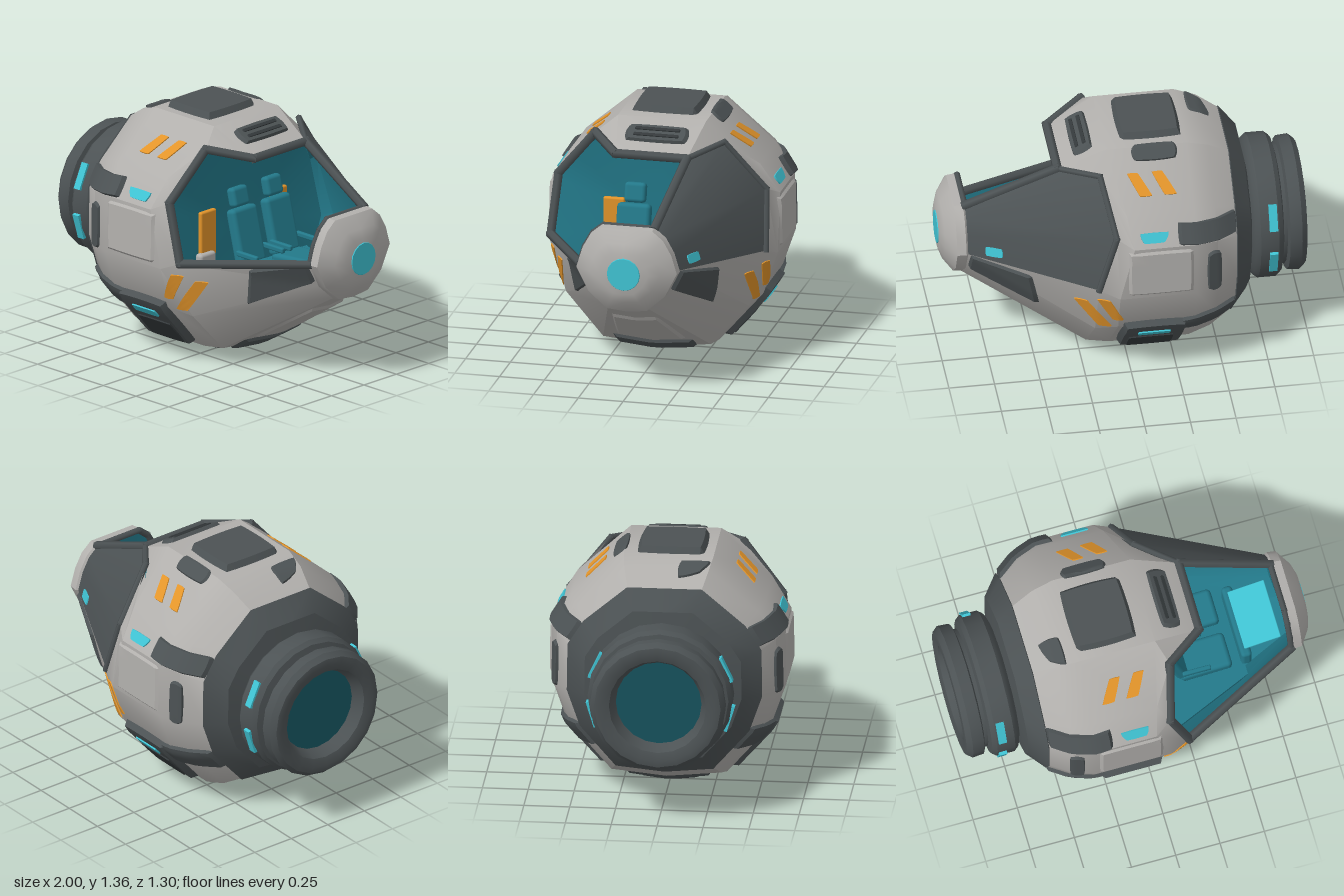
import * as THREE from 'three';
import { toCreasedNormals } from 'three/addons/utils/BufferGeometryUtils.js';
import { RoundedBoxGeometry } from 'three/addons/geometries/RoundedBoxGeometry.js';

const mat = (name, color) => Object.assign(new THREE.MeshStandardMaterial({ color }), { name });
const AXIS = 0.69; // height of the pod's long axis
const N = 14; // points in each hull ring

// Half sections [x, y, z] from roof to belly: widest body, canopy rear edge, nose rim
const BODY = [[0.1, 1.332, 0.245], [0.03, 1.09, 0.53], [0, 0.925, 0.635], [0.08, 0.605, 0.64], [0.08, 0.36, 0.555], [0.1, 0.09, 0.32]];
const CANOPY = [[0.36, 1.2, 0.2], [0.15, 1.24, 0.36], [0.09, 0.97, 0.58], [0.19, 0.65, 0.6], [0.2, 0.33, 0.51], [0.22, 0.1, 0.3]];
const NOSE = [[0.86, 0.96, 0.14], [0.86, 0.91, 0.2], [0.86, 0.83, 0.245], [0.86, 0.73, 0.275], [0.87, 0.6, 0.21], [0.89, 0.51, 0.11]];

// Full ring: centre points added at roof and belly, other half mirrored
function ringOf(half) {
  const [tx, ty] = half[0], [bx, by, bz] = half[half.length - 1];
  const other = half.map(([x, y, z]) => [x, y, -z]).reverse();
  return [[tx, ty, 0], ...half, [bx, by - 0.1 * bz, 0], ...other];
}
const scaleRing = (ring, s, x, cy = AXIS) => ring.map(p => [x ?? p[0], cy + (p[1] - cy) * s, p[2] * s]);

// Skin stretched over rings; keep(r, i) chooses which cells are built
function loft(rings, keep = () => true, inward = false) {
  const pos = [];
  for (let r = 0; r < rings.length - 1; r++) for (let i = 0; i < N; i++) {
    if (!keep(r, i)) continue;
    const j = (i + 1) % N;
    const [a, b, c, d] = [rings[r][i], rings[r][j], rings[r + 1][j], rings[r + 1][i]];
    pos.push(...(inward ? [a, c, b, a, d, c] : [a, b, c, a, c, d]).flat());
  }
  const g = new THREE.BufferGeometry();
  g.setAttribute('position', new THREE.Float32BufferAttribute(pos, 3));
  return toCreasedNormals(g, 0.5);
}

export function createModel() {
  const M = {
    light: mat('light grey hull', 0xb2b0ad), dark: mat('dark grey trim', 0x4c5254),
    slot: mat('shadow grey', 0x34393b), glow: mat('cyan light', 0x40c4d4),
    teal: mat('teal interior', 0x23798a), deep: mat('deep teal', 0x17545f),
    orange: mat('orange paint', 0xe2942a),
  };
  const root = new THREE.Group();
  root.name = 'pod';
  const add = (name, geo, m, parent = root) => {
    const o = new THREE.Mesh(geo, m);
    o.name = name;
    parent.add(o);
    return o;
  };

  // Hull, collar and canopy side: the body section shrinks towards the rear
  const body = ringOf(BODY), canopy = ringOf(CANOPY), noseRim = ringOf(NOSE);
  const rear = [[0.67, -0.67], [0.82, -0.58], [0.94, -0.46], [1, -0.34]].map(([s, x]) => scaleRing(body, s, x));
  const hull = [...rear.slice(1), body, canopy, noseRim];
  const isTop = i => i === 0 || i === 13;
  const isLeftPane = i => i >= 1 && i <= 3;
  const isRightPane = i => i >= 10 && i <= 12;
  const solidFront = i => !isTop(i) && !isLeftPane(i) && !isRightPane(i);
  add('hull', loft(hull, (r, i) => r < 4 || solidFront(i)), M.light);
  add('collar', loft([scaleRing(rear[0], 0.6, -0.7), rear[0], scaleRing(rear[1], 1.015), scaleRing(rear[1], 0.98, -0.565)]), M.dark);
  add('canopyCover', loft([canopy, noseRim], (r, i) => isRightPane(i)), M.dark);

  // Nose cap and lamp
  const cap = [[1.0, 0.86], [1.04, 0.87], [1.02, 0.92], [0.72, 0.975], [0.5, 0.995], [0, 0.996]];
  add('noseCap', loft(cap.map(([s, x]) => scaleRing(noseRim, s, x, 0.73))), M.light);
  const lamp = add('noseLamp', new THREE.CylinderGeometry(0.09, 0.1, 0.02, 16).rotateZ(-Math.PI / 2), M.glow);
  lamp.position.set(0.99, 0.73, 0);

  // Canopy frame bars
  const bar = (p, q, r = 0.026) => {
    const a = new THREE.Vector3(...p), b = new THREE.Vector3(...q), d = b.clone().sub(a);
    const o = add('canopyFrame', new THREE.CylinderGeometry(r, r, d.length() + r, 6), M.dark);
    o.position.copy(a).add(b).multiplyScalar(0.5);
    o.quaternion.setFromUnitVectors(new THREE.Vector3(0, 1, 0), d.normalize());
  };
  const loop = [...[13, 1, 2, 3, 4].map(i => canopy[i]), ...[4, 3, 2, 1, 13].map(i => noseRim[i])];
  loop.forEach((p, i) => bar(p, loop[(i + 1) % loop.length], i > 4 && i < 9 ? 0.018 : 0.026));
  for (const i of [10, 11, 12]) bar(canopy[i], canopy[i + 1], 0.018);

  // Cabin lining, bulkheads and floor
  const inner = [scaleRing(body, 0.94), scaleRing(canopy, 0.965), scaleRing(noseRim, 0.94, null, 0.73)];
  add('cabinLining', loft(inner, (r, i) => r === 0 || solidFront(i) || isRightPane(i), true), M.teal);
  add('rearBulkhead', loft([scaleRing(inner[0], 0, 0.04), inner[0]], undefined, true), M.teal);
  add('frontBulkhead', loft([inner[2], scaleRing(inner[2], 0, 0.87, 0.73)], undefined, true), M.teal);
  const floor = new THREE.Shape([[0.06, -0.5], [0.62, -0.26], [0.62, 0.26], [0.06, 0.5]].map(p => new THREE.Vector2(...p)));
  add('floor', new THREE.ExtrudeGeometry(floor, { depth: 0.02, bevelEnabled: false }).rotateX(Math.PI / 2), M.teal).position.y = 0.46;
  const box = (name, size, at, m, parent = root, tilt = 0) => {
    const o = add(name, new RoundedBoxGeometry(...size, 2, Math.min(...size) * 0.35), m, parent);
    o.position.set(...at);
    o.rotation.z = tilt;
  };

  // Two seats, with lockers on the wall behind
  for (const z of [-0.13, 0.13]) {
    const seat = new THREE.Group();
    seat.name = 'seat';
    seat.position.set(0.2, 0.46, z);
    root.add(seat);
    box('seatBase', [0.2, 0.07, 0.12], [0.17, 0.03, 0], M.teal, seat);
    box('seatCushion', [0.29, 0.07, 0.2], [0.2, 0.09, 0], M.teal, seat, 0.08);
    box('seatBack', [0.07, 0.32, 0.19], [0.03, 0.25, 0], M.teal, seat, 0.25);
    box('headrest', [0.06, 0.11, 0.12], [-0.03, 0.46, 0], M.teal, seat, 0.25);
    for (const s of [-1, 1]) box('armrest', [0.16, 0.03, 0.025], [0.14, 0.18, s * 0.1], M.teal, seat);
    box('wallLocker', [0.03, 0.26, 0.12], [0.075, 0.72, z * 2.1], M.orange);
  }
  box('lowerLocker', [0.05, 0.16, 0.12], [0.09, 0.54, 0.3], M.light);
  box('console', [0.06, 0.14, 0.42], [0.63, 0.54, 0], M.teal);
  box('consoleScreen', [0.21, 0.015, 0.34], [0.73, 0.63, 0], M.glow, root, 0.2);

  // Engine, turned around the long axis
  const prof = [[0.3, 0.62], [0.33, 0.69], [0.375, 0.705], [0.395, 0.73], [0.395, 0.83], [0.375, 0.855], [0.33, 0.865], [0.33, 0.885],
    [0.365, 0.895], [0.37, 0.96], [0.345, 0.99], [0.31, 0.995], [0.265, 0.98], [0.225, 0.89]];
  const turn = g => g.rotateZ(Math.PI / 2);
  const engine = new THREE.Group();
  engine.name = 'engine';
  engine.position.y = AXIS - 0.005;
  root.add(engine);
  add('engineHousing', toCreasedNormals(turn(new THREE.LatheGeometry(prof.map(p => new THREE.Vector2(...p)), 20)), 0.6), M.dark, engine);
  add('engineGlow', turn(new THREE.CylinderGeometry(0.25, 0.25, 0.02, 20)), M.deep, engine).position.x = -0.9;
  for (const s of [-1, 1]) for (const deg of [25, -17]) {
    const a = deg * Math.PI / 180;
    const o = add('engineLight', new THREE.BoxGeometry(0.045, 0.15, 0.03), M.glow, engine);
    o.position.set(-0.8, Math.sin(a) * 0.387, s * Math.cos(a) * 0.387);
    o.rotation.x = -s * a;
  }

  // Plates laid over the hull: corners seen from a side ([x, y]) or from above or below ([x, z])
  const solid = new THREE.Mesh(loft(hull), new THREE.MeshStandardMaterial({ side: THREE.DoubleSide }));
  const ray = new THREE.Raycaster();
  function plate(name, m, view, corners, h = 0.006, round = 0.3) {
    const side = view === 'left' || view === 'right', sg = view === 'left' || view === 'top' ? 1 : -1;
    const dir = side ? new THREE.Vector3(0, 0, -sg) : new THREE.Vector3(0, -sg, 0);
    const n = 9, pos = [], idx = [], mid = side ? AXIS : 0, edge = h > 0.01 ? 0.12 : 0.02;
    const step = k => k === 0 ? -1 : k === n ? 1 : -1 + edge + (k - 1) / (n - 2) * (2 - 2 * edge);
    for (let j = 0; j <= n; j++) for (let i = 0; i <= n; i++) {
      const u0 = step(i), v0 = step(j);
      const u = (1 + u0 * Math.sqrt(1 - round * v0 * v0 / 2)) / 2, v = (1 + v0 * Math.sqrt(1 - round * u0 * u0 / 2)) / 2;
      const [x, w] = [0, 1].map(k => (1 - v) * ((1 - u) * corners[0][k] + u * corners[1][k]) + v * ((1 - u) * corners[3][k] + u * corners[2][k]));
      let hit, q = w - mid;
      for (let t = 0; t < 40 && !hit; t++, q *= 0.97) {
        ray.set(side ? new THREE.Vector3(x, mid + q, 3 * sg) : new THREE.Vector3(x, AXIS + 3 * sg, q), dir);
        hit = ray.intersectObject(solid)[0];
      }
      const rim = i === 0 || j === 0 || i === n || j === n;
      pos.push(...hit.point.addScaledVector(hit.face.normal, rim ? -0.004 : h).toArray());
      if (i < n && j < n) {
        const a = j * (n + 1) + i, b = a + 1, c = b + n + 1, d = c - 1;
        idx.push(...(side === (sg > 0) ? [a, b, c, a, c, d] : [a, c, b, a, d, c]));
      }
    }
    const g = new THREE.BufferGeometry();
    g.setAttribute('position', new THREE.Float32BufferAttribute(pos, 3));
    g.setIndex(idx);
    add(name, toCreasedNormals(g, 0.5), m);
  }
  const rect = (x0, y0, x1, y1) => [[x0, y0], [x1, y0], [x1, y1], [x0, y1]];

  for (const s of ['left', 'right']) {
    plate('sidePanel', M.light, s, rect(-0.33, 0.62, 0.04, 0.91), 0.012, 0.1);
    plate('upperBand', M.dark, s, [[-0.58, 0.9], [-0.24, 0.93], [-0.24, 1.04], [-0.58, 1.01]], 0.022, 0.1);
    plate('lowerBand', M.dark, s, [[-0.58, 0.31], [-0.25, 0.28], [-0.25, 0.39], [-0.58, 0.44]], 0.02, 0.1);
    plate('thrusterBox', M.dark, s, [[-0.3, 0.1], [0.07, 0.1], [0.06, 0.4], [-0.31, 0.4]], 0.035, 0.2);
    plate('thrusterHatch', M.slot, s, rect(-0.25, 0.12, 0.03, 0.27), 0.042, 0.2);
    plate('thrusterLight', M.glow, s, rect(-0.22, 0.3, -0.02, 0.345), 0.043, 0.2);
    plate('sideSlot', M.dark, s, rect(-0.48, 0.59, -0.4, 0.86), 0.014, 0.5);
    plate('sideLight', M.glow, s, [[-0.17, 0.95], [-0.05, 0.95], [-0.03, 1.0], [-0.2, 1.0]], 0.008);
    for (const x of [0, 0.135])
      plate('upperStripe', M.orange, s, [[-0.26 + x, 1.15], [-0.19 + x, 1.15], [-0.13 + x, 1.24], [-0.19 + x, 1.24]], 0.006, 0.15);
    plate('lowerStripe', M.orange, s, [[0.05, 0.42], [0.11, 0.42], [0.2, 0.58], [0.13, 0.58]], 0.006, 0.15);
    plate('lowerStripe', M.orange, s, [[0.11, 0.36], [0.18, 0.36], [0.32, 0.555], [0.25, 0.555]], 0.006, 0.15);
    plate('cheekPanel', M.dark, s, [[0.48, 0.43], [0.86, 0.62], [0.85, 0.73], [0.53, 0.66]], 0.016, 0.03);
  }
  plate('coverLight', M.glow, 'right', rect(0.68, 0.74, 0.77, 0.79), 0.007);

  // Roof hatch, vent and slots
  plate('roofHatch', M.dark, 'top', rect(-0.33, -0.18, 0.02, 0.2), 0.035, 0.2);
  plate('roofVent', M.dark, 'top', rect(0.16, -0.18, 0.27, 0.18), 0.018, 0.3);
  for (const x of [0.185, 0.225]) plate('ventSlat', M.slot, 'top', rect(x, -0.14, x + 0.02, 0.14), 0.024, 0.1);
  plate('roofSlot', M.dark, 'top', rect(-0.29, -0.31, -0.03, -0.23), 0.012, 0.5);
  plate('roofPatch', M.dark, 'top', [[-0.52, 0.06], [-0.39, 0.06], [-0.39, 0.25], [-0.48, 0.19]], 0.012, 0.4);

  // Belly hatch and panels
  plate('bellyFrame', M.dark, 'bottom', rect(-0.36, -0.25, 0.13, 0.25), 0.025, 0.2);
  plate('bellyHatch', M.slot, 'bottom', rect(-0.28, -0.17, 0.06, 0.17), 0.055, 0.2);
  plate('bellyStep', M.dark, 'bottom', rect(0.18, -0.23, 0.32, 0.23), 0.016, 0.1);
  plate('chinPanel', M.light, 'bottom', [[0.34, -0.2], [0.74, -0.13], [0.74, 0.13], [0.34, 0.2]], 0.012, 0.05);
  return root;
}
